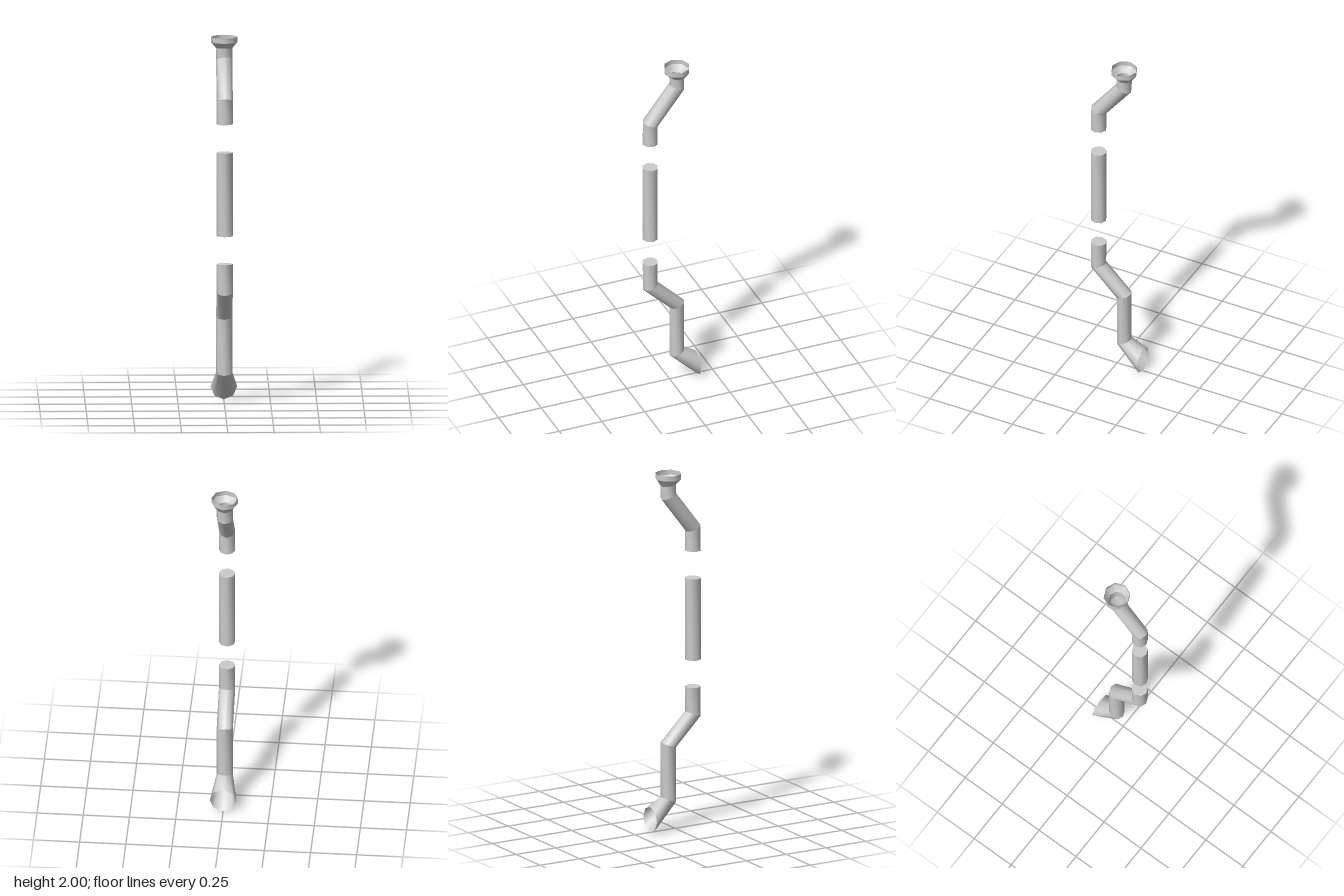
import * as THREE from 'three';

const SIDES = 8;
const R = 0.044;      // pipe radius
const WIDE = 0.072;   // radius of the funnel rim and spout mouth
const FRONT = 0.113;  // z of the front pipe run
const BACK = -0.042;  // z of the set-back pipe run

const material = new THREE.MeshStandardMaterial({ color: 0xcccccc, side: THREE.DoubleSide });

// One octagonal ring; tilt raises the front corner and lowers the back one.
const ring = (y, z, tilt = 0, rx = R, rz = rx) => ({ y, z, tilt, rx, rz });

// Smooth tube wall between an upper and a lower ring.
function wall(upper, lower) {
  const positions = [], index = [];
  for (const r of [upper, lower]) {
    for (let i = 0; i < SIDES; i++) {
      const a = (i / SIDES) * Math.PI * 2;
      positions.push(r.rx * Math.sin(a), r.y + r.tilt * Math.cos(a), r.z + r.rz * Math.cos(a));
    }
  }
  for (let i = 0; i < SIDES; i++) {
    const j = (i + 1) % SIDES;
    index.push(i, i + SIDES, j + SIDES, i, j + SIDES, j);
  }
  const geometry = new THREE.BufferGeometry();
  geometry.setAttribute('position', new THREE.Float32BufferAttribute(positions, 3));
  geometry.setIndex(index);
  geometry.computeVertexNormals();
  return geometry;
}

// A pipe section: named walls between successive rings, listed from the top down.
function section(name, rings, names) {
  const group = new THREE.Group();
  group.name = name;
  names.forEach((part, i) => {
    const mesh = new THREE.Mesh(wall(rings[i], rings[i + 1]), material);
    mesh.name = part;
    group.add(mesh);
  });
  return group;
}

// Flat octagonal end cap.
function cap(name, y, up) {
  const mesh = new THREE.Mesh(new THREE.CircleGeometry(R, SIDES), material);
  mesh.name = name;
  mesh.rotation.x = up ? -Math.PI / 2 : Math.PI / 2;
  mesh.position.set(0, y, FRONT);
  return mesh;
}

export function createModel() {
  const model = new THREE.Group();
  model.name = 'drainpipe';

  // Upper section: open funnel, offset bend and open lower end
  const upper = section('upperSection', [
    ring(2, BACK, 0, WIDE),
    ring(1.972, BACK, 0, WIDE),
    ring(1.938, BACK, 0.006),
    ring(1.875, BACK, 0.018, R, 0.041),
    ring(1.673, FRONT, 0.016, R, 0.042),
    ring(1.547, FRONT),
  ], ['funnelRim', 'funnelCone', 'funnelNeck', 'upperSlope', 'upperPipe']);

  // Straight middle section, closed at both ends
  const middle = section('middleSection',
    [ring(1.392, FRONT), ring(0.936, FRONT)], ['middlePipe']);
  middle.add(cap('middleTopCap', 1.392, true), cap('middleBottomCap', 0.936, false));

  // Lower section: closed top, offset bend and flared spout opening to the back
  const lower = section('lowerSection', [
    ring(0.783, FRONT),
    ring(0.63, FRONT, -0.016, R, 0.042),
    ring(0.476, BACK, -0.016, R, 0.041),
    ring(0.17, BACK, -0.017, R, 0.041),
    ring(0.073, -0.156, -0.071, WIDE, 0),
  ], ['lowerPipe', 'lowerSlope', 'downPipe', 'spout']);
  lower.add(cap('lowerTopCap', 0.783, true));

  model.add(upper, middle, lower);
  return model;
}
